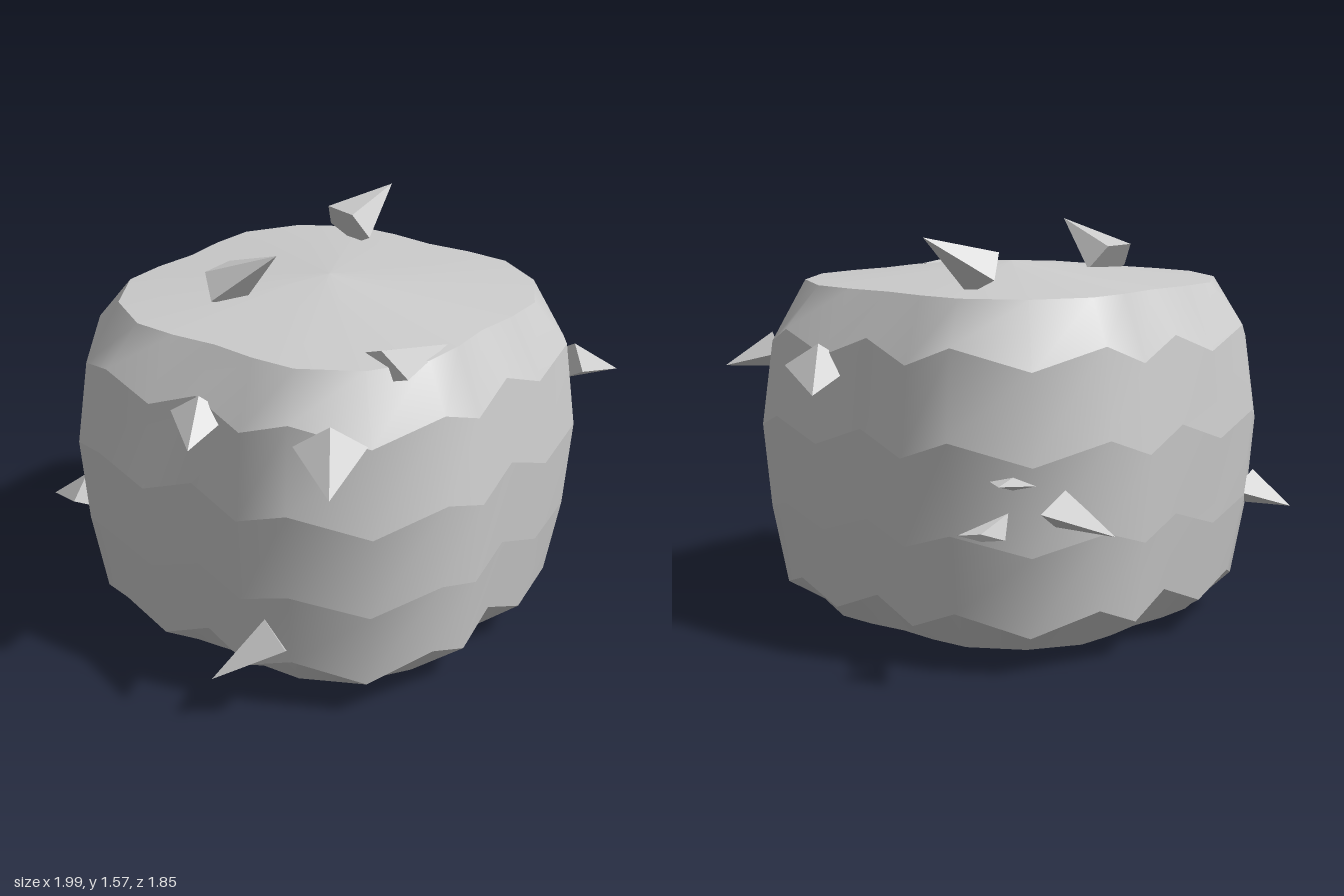
import * as THREE from 'three';

const material = new THREE.MeshStandardMaterial({ color: 0xcccccc });
const flatMaterial = new THREE.MeshStandardMaterial({ color: 0xcccccc, flatShading: true });

// Rounded-square outline: six points per quarter, turned four times
function outline() {
  const quarter = [[0, 0.84], [0.22, 0.86], [0.44, 0.85], [0.7, 0.69], [0.85, 0.44], [0.86, 0.22]];
  const points = [];
  for (let q = 0; q < 4; q++) {
    const c = Math.round(Math.cos(q * Math.PI / 2)), s = Math.round(Math.sin(q * Math.PI / 2));
    for (const [x, z] of quarter) points.push([x * c + z * s, z * c - x * s]);
  }
  return points;
}

// One smooth band between two rings; the ring heights may zigzag
function band(name, lower, upper) {
  const shape = outline(), n = shape.length, positions = [], index = [];
  for (const { y, scale, zig = 0 } of [lower, upper]) {
    shape.forEach(([x, z], i) => positions.push(x * scale, y + (i % 2 ? -zig : zig), z * scale + 0.05));
  }
  for (let i = 0; i < n; i++) {
    const j = (i + 1) % n;
    if (lower.scale > 0) index.push(i, j, n + j);
    if (upper.scale > 0) index.push(i, n + j, n + i);
    else index.push(i, j, n + i);
  }
  const geometry = new THREE.BufferGeometry();
  geometry.setAttribute('position', new THREE.Float32BufferAttribute(positions, 3));
  geometry.setIndex(index);
  geometry.computeVertexNormals();
  const mesh = new THREE.Mesh(geometry, material);
  mesh.name = name;
  return mesh;
}

// Low-poly thorn from a base centre to a tip, optionally flattened
function spike(name, base, tip, radius, flatness, sides = 4) {
  const from = new THREE.Vector3(...base), to = new THREE.Vector3(...tip);
  const length = from.distanceTo(to);
  const geometry = new THREE.ConeGeometry(radius, length, sides);
  geometry.rotateX(Math.PI / 2).translate(0, 0, length / 2);
  geometry.scale(1, flatness, 1);
  const mesh = new THREE.Mesh(geometry, flatMaterial);
  mesh.position.copy(from);
  mesh.lookAt(to);
  mesh.name = name;
  return mesh;
}

export function createModel() {
  const model = new THREE.Group();
  model.name = 'spikyBlock';

  // Body: shallow domes at both ends and four zigzag seams between
  const body = new THREE.Group();
  body.name = 'body';
  const rings = [
    { y: 0, scale: 0 },
    { y: 0.05, scale: 0.74 },
    { y: 0.18, scale: 0.91, zig: 0.04 },
    { y: 0.485, scale: 0.97, zig: 0.035 },
    { y: 0.82, scale: 1, zig: 0.04 },
    { y: 1.15, scale: 0.955, zig: 0.04 },
    { y: 1.35, scale: 0.82 },
    { y: 1.42, scale: 0 },
  ];
  const names = ['underside', 'lowerRim', 'lowerBand', 'middleBand', 'upperBand', 'shoulder', 'topDome'];
  names.forEach((name, i) => body.add(band(name, rings[i], rings[i + 1])));
  model.add(body);

  // Spikes: name, base centre, tip, radius, flatness, sides
  const spikes = [
    ['topRightSpike', [-0.31, 1.41, -0.2], [-0.3, 1.57, 0.03], 0.13, 0.75, 5],
    ['topLeftSpike', [0.49, 1.43, -0.22], [0.72, 1.56, -0.16], 0.13, 0.75, 5],
    ['topFrontSpike', [-0.48, 1.34, 0.63], [-0.2, 1.355, 0.72], 0.15, 0.4],
    ['frontRightSpike', [-0.74, 1.12, 0.6], [-0.95, 1.04, 0.75], 0.13, 0.7],
    ['upperRightSpike', [-0.8, 1.13, 0.07], [-0.98, 1.07, 0.16], 0.11, 0.7],
    ['lowerRightSpike', [-0.8, 0.33, 0.4], [-1, 0.19, 0.26], 0.12, 0.7],
    ['leftSpike', [0.82, 1.07, 0.28], [0.99, 0.99, 0.14], 0.13, 0.7],
    ['frontLeftSpike', [0.56, 1.06, 0.8], [0.73, 1, 0.92], 0.12, 0.6],
    ['backLeftSpike', [0.6, 0.63, -0.7], [0.58, 0.56, -0.93], 0.12, 0.6],
    ['backRightSpike', [-0.6, 0.52, -0.68], [-0.62, 0.46, -0.87], 0.12, 0.6],
    ['upperThorn', [0.75, 0.73, -0.61], [0.86, 0.74, -0.64], 0.09, 0.25],
    ['flaredThorn', [0.955, 0.58, -0.645], [0.74, 0.62, -0.58], 0.09, 0.15],
  ];
  for (const s of spikes) model.add(spike(...s));
  return model;
}
